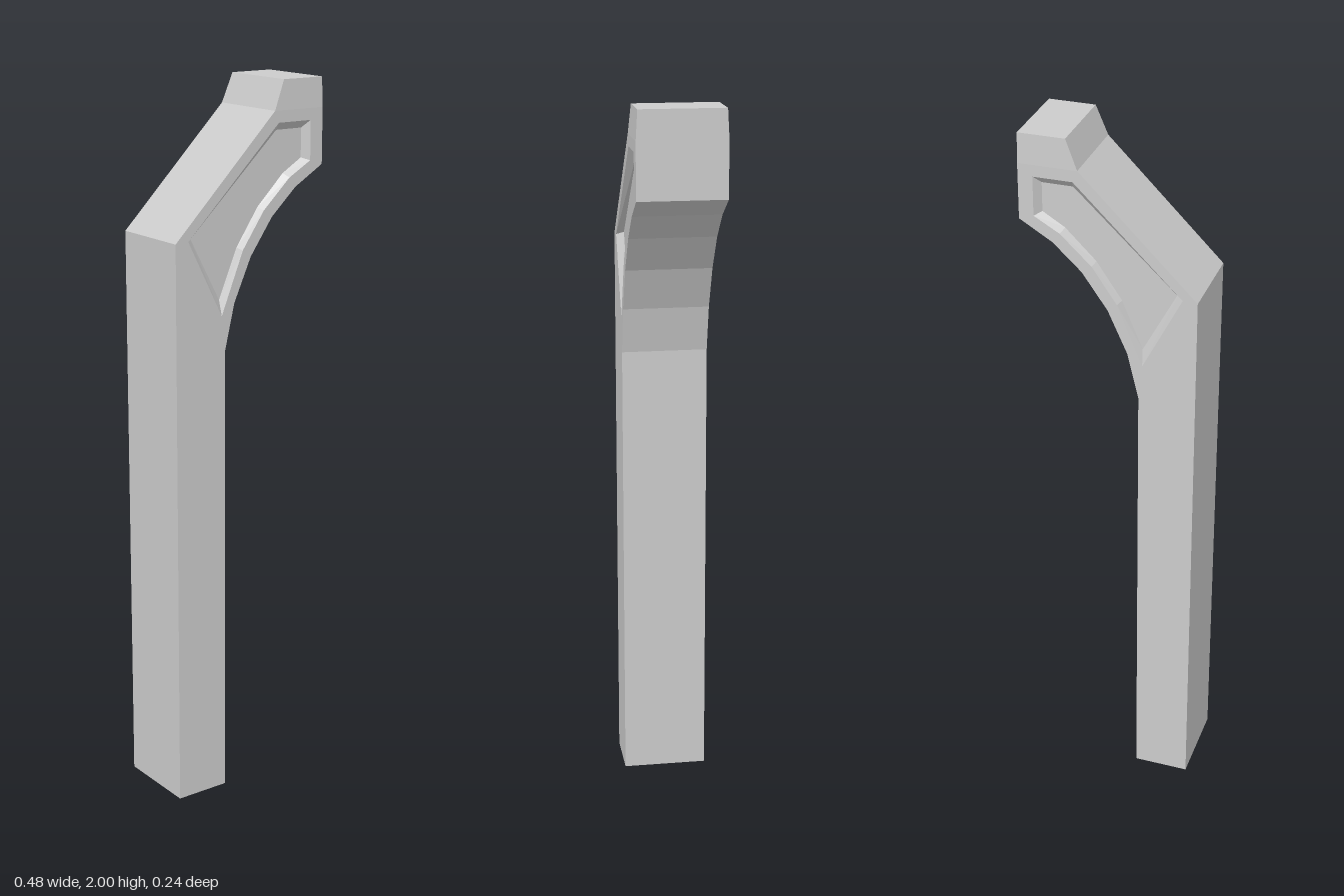
import * as THREE from 'three';
import { mergeGeometries } from 'three/addons/utils/BufferGeometryUtils.js';

const DEPTH = 0.12, TOP_DEPTH = 0.1155, FLOOR = 0.1;

// Counter-clockwise side outline: post, curved underside, block on top, sloped back
const outline = [
  [-0.24, 0], [-0.083, 0], [-0.083, 1.29], [-0.052, 1.42], [0.002, 1.54], [0.072, 1.64],
  [0.15, 1.713], [0.24, 1.767], [0.24, 1.92], [0.24, 2], [0.112, 2], [0.08, 1.92], [-0.24, 1.6],
];
// Recess rim and the slightly smaller floor
const rim = [
  [-0.2, 1.602], [-0.093, 1.39], [-0.024, 1.56], [0.045, 1.66], [0.13, 1.74],
  [0.2, 1.78], [0.2, 1.888], [0.093, 1.888],
];
const floor = [
  [-0.183, 1.611], [-0.088, 1.43], [-0.031, 1.565], [0.038, 1.667], [0.122, 1.75],
  [0.183, 1.787], [0.183, 1.867], [0.099, 1.867],
];

const toVectors = (pts) => pts.map(([x, y]) => new THREE.Vector2(x, y));
const depthAt = (y) => (y > 1.99 ? TOP_DEPTH : DEPTH);

// Flat face looking towards +z, with an optional hole
function flat(pts, zAt, hole) {
  const shape = new THREE.Shape(toVectors(pts));
  if (hole) shape.holes.push(new THREE.Path(toVectors(hole)));
  const geo = new THREE.ShapeGeometry(shape).toNonIndexed();
  const p = geo.attributes.position;
  for (let i = 0; i < p.count; i++) p.setZ(i, zAt(p.getY(i)));
  geo.deleteAttribute('uv');
  geo.deleteAttribute('normal');
  return geo;
}

// Wall joining two loops of equal length; faces outward when the first loop is behind
function band(a, zA, b, zB) {
  const v = [];
  a.forEach((p, i) => {
    const j = (i + 1) % a.length;
    const A = [...p, zA(p[1])], B = [...a[j], zA(a[j][1])];
    const C = [...b[j], zB(b[j][1])], D = [...b[i], zB(b[i][1])];
    v.push(...A, ...B, ...C, ...A, ...C, ...D);
  });
  const geo = new THREE.BufferGeometry();
  geo.setAttribute('position', new THREE.Float32BufferAttribute(v, 3));
  return geo;
}

// Mirror to the back, swapping corners so the faces still look outward
function mirrorZ(geo) {
  const out = geo.clone(), p = out.attributes.position, q = geo.attributes.position;
  for (let i = 0; i < p.count; i++) {
    const k = i % 3 === 0 ? i : i % 3 === 1 ? i + 1 : i - 1;
    p.setXYZ(i, q.getX(k), q.getY(k), -q.getZ(k));
  }
  return out;
}

export function createModel() {
  const group = new THREE.Group();
  group.name = 'bracketPost';
  const material = new THREE.MeshStandardMaterial({ color: 0xcccccc, flatShading: true });
  const add = (name, geos) => {
    const geo = mergeGeometries(geos);
    geo.computeVertexNormals();
    const mesh = new THREE.Mesh(geo, material);
    mesh.name = name;
    group.add(mesh);
  };

  // Outer walls all round the outline
  add('outerWalls', [band(outline, (y) => -depthAt(y), outline, depthAt)]);

  // Side faces: main face around the recess, plus the tapered top block
  const main = outline.filter(([, y]) => y < 1.99);
  const block = [outline[11], outline[8], outline[9], outline[10]];
  const side = mergeGeometries([flat(main, depthAt, rim), flat(block, depthAt)]);

  // Recessed panel: sloped walls and floor
  const panel = mergeGeometries([
    band(floor, () => FLOOR, rim, () => DEPTH).scale(1, 1, 1),
    flat(floor, () => FLOOR),
  ]);
  // Recess walls look inward, so swap their corners
  const p = panel.attributes.position, a = new THREE.Vector3(), b = new THREE.Vector3();
  for (let i = 0; i < floor.length * 6; i += 3) {
    a.fromBufferAttribute(p, i + 1);
    b.fromBufferAttribute(p, i + 2);
    p.setXYZ(i + 1, b.x, b.y, b.z);
    p.setXYZ(i + 2, a.x, a.y, a.z);
  }

  add('frontFace', [side]);
  add('backFace', [mirrorZ(side)]);
  add('frontRecess', [panel]);
  add('backRecess', [mirrorZ(panel)]);
  return group;
}
